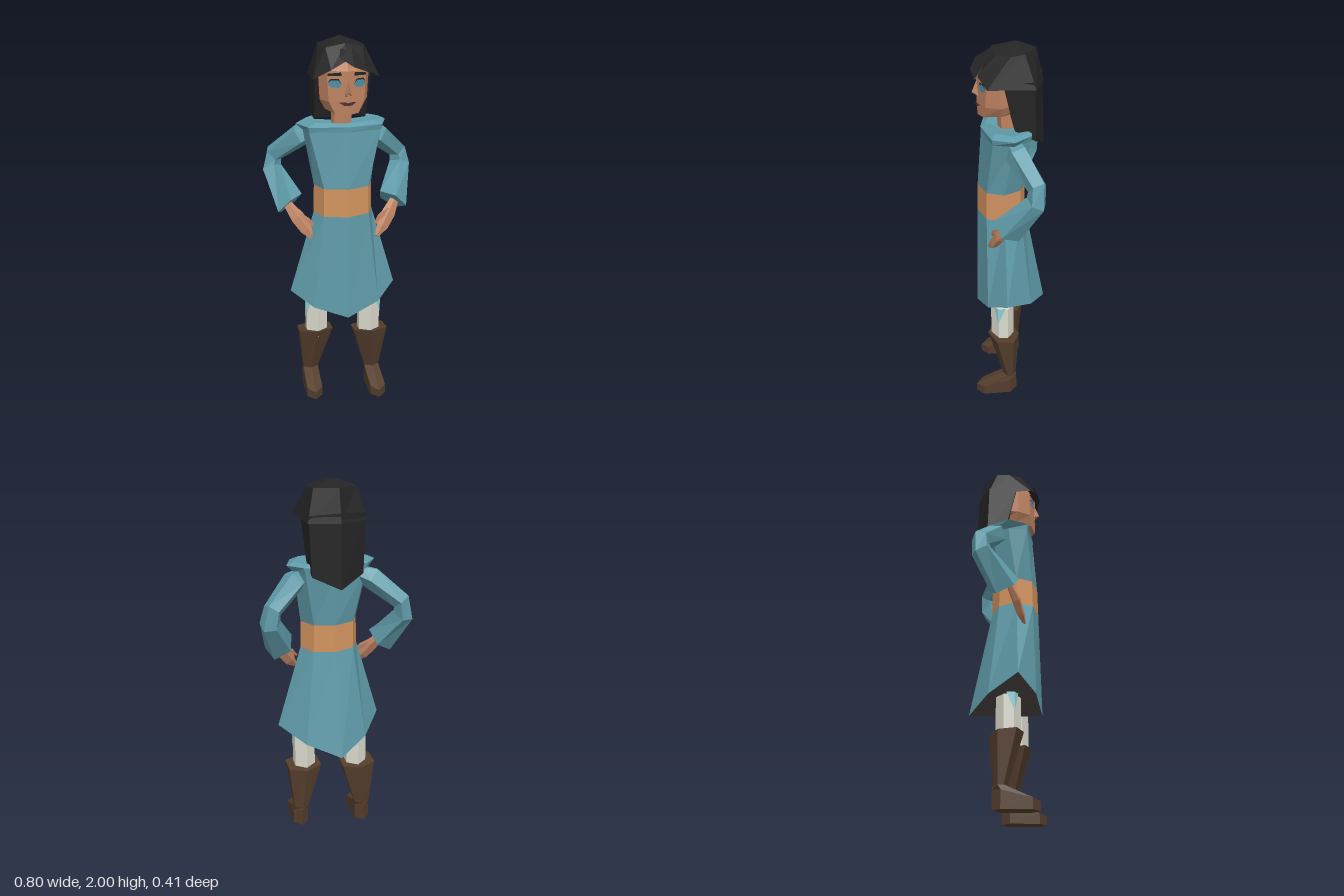
import * as THREE from 'three';

const mat = (name, color, side = THREE.FrontSide) => {
  const m = new THREE.MeshStandardMaterial({ color, side });
  m.name = name;
  return m;
};

// Faceted skin through rings of points, each counterclockwise about the direction of travel
function loft(rings, capStart = true, capEnd = true) {
  const pos = [];
  const tri = (...p) => p.forEach(q => pos.push(...q));
  const n = rings[0].length;
  for (let r = 0; r + 1 < rings.length; r++) {
    for (let i = 0; i < n; i++) {
      const j = (i + 1) % n, a = rings[r], b = rings[r + 1];
      tri(a[i], a[j], b[j]);
      tri(a[i], b[j], b[i]);
    }
  }
  const cap = (ring, flip) => {
    const c = [0, 1, 2].map(k => ring.reduce((s, p) => s + p[k], 0) / n);
    ring.forEach((p, i) => {
      const q = ring[(i + 1) % n];
      flip ? tri(c, q, p) : tri(c, p, q);
    });
  };
  if (capStart) cap(rings[0], true);
  if (capEnd) cap(rings[rings.length - 1], false);
  return fromTriangles(pos);
}

function fromTriangles(pos) {
  const g = new THREE.BufferGeometry();
  g.setAttribute('position', new THREE.Float32BufferAttribute(pos, 3));
  g.computeVertexNormals();
  return g;
}

// Eight-point ring, symmetric in x: front [y,z], three side points [x,y,z], back [y,z]
const sym = (f, d, s, b, k) => {
  const half = [d, s, b];
  return [[0, ...f], ...half, [0, ...k], ...half.map(([x, y, z]) => [-x, y, z]).reverse()];
};

// Six-point ring with pointed front and back; height runs from yb (back) to yf (front)
const hex = (x0, x1, zb, zf, yb, yf = yb) => {
  const d = Math.min(0.3 * (zf - zb), 0.04), xm = (x0 + x1) / 2;
  return [[xm, zf], [x1, zf - d], [x1, zb + d], [xm, zb], [x0, zb + d], [x0, zf - d]]
    .map(([x, z]) => [x, yb + (yf - yb) * (z - zb) / (zf - zb), z]);
};

// Rings along a limb: [x, y, z, radius]; flat squashes the section, endNormal tilts the last ring
function limb(path, sides, flat = 1, endNormal = null) {
  const pts = path.map(p => new THREE.Vector3(p[0], p[1], p[2]));
  return path.map((p, i) => {
    const last = i === path.length - 1;
    const n = last && endNormal ? new THREE.Vector3(...endNormal)
      : pts[Math.min(i + 1, path.length - 1)].clone().sub(pts[Math.max(i - 1, 0)]);
    n.normalize();
    const u = new THREE.Vector3(0, 0, 1).cross(n).normalize();
    const v = n.clone().cross(u);
    return Array.from({ length: sides }, (_, k) => {
      const a = (k + 0.5) / sides * Math.PI * 2;
      return pts[i].clone().addScaledVector(u, Math.cos(a) * p[3])
        .addScaledVector(v, Math.sin(a) * p[3] * flat).toArray();
    });
  });
}

// Mirror rings to the right side, with a shift in z for the stance
const onSide = (rings, s, dz) => s > 0 ? rings
  : rings.map(r => r.map(([x, y, z]) => [-x, y, z + dz]).reverse());

export function createModel() {
  const root = new THREE.Group();
  const body = new THREE.Group();
  body.name = 'figure';
  body.position.x = -0.017;
  root.add(body);

  const teal = mat('dressTeal', 0x609caa), orange = mat('beltOrange', 0xd2935f);
  const lining = mat('liningGrey', 0x4c4745), skin = mat('skin', 0xc08462);
  const hair = mat('hairBlack', 0x242424, THREE.DoubleSide), brown = mat('bootBrown', 0x543d2c);
  const white = mat('leggingWhite', 0xdcdacd), cyan = mat('patchCyan', 0x8fd0d4, THREE.DoubleSide);
  const blue = mat('eyeBlue', 0x4b90aa, THREE.DoubleSide), lip = mat('lipDark', 0x53302a, THREE.DoubleSide);

  const add = (name, geo, m) => {
    const mesh = new THREE.Mesh(geo, m);
    mesh.name = name;
    body.add(mesh);
    return mesh;
  };

  // Dress: skirt, lining, belt, bodice with flared collar
  const hem = sym([0.52, 0.185], [0.18, 0.58, 0.14], [0.292, 0.65, 0.045], [0.17, 0.58, -0.1], [0.52, -0.195]);
  const waist = (y, k) => sym([y, 0.173 * k], [0.12 * k, y, 0.135 * k], [0.158 * k, y, 0.045], [0.11 * k, y, -0.045 * k], [y, -0.08 * k]);
  const low = waist(1.1, 1), high = waist(1.25, 0.98);
  add('skirt', loft([hem, low], false, false), teal);
  const under = [];
  hem.forEach((p, i) => under.push(0, 0.52, 0, ...hem[(i + 1) % 8], ...p));
  add('skirtLining', fromTriangles(under), lining);
  add('belt', loft([low, high], false, false), orange);
  add('bodice', loft([
    high,
    sym([1.545, 0.148], [0.185, 1.54, 0.105], [0.2, 1.535, 0], [0.16, 1.54, -0.085], [1.545, -0.11]),
    sym([1.57, 0.15], [0.19, 1.57, 0.11], [0.237, 1.57, 0], [0.17, 1.575, -0.09], [1.57, -0.115]),
    sym([1.585, 0.125], [0.15, 1.588, 0.09], [0.2, 1.588, 0], [0.14, 1.588, -0.075], [1.585, -0.095]),
    sym([1.57, 0.075], [0.055, 1.57, 0.06], [0.075, 1.57, 0.01], [0.055, 1.57, -0.04], [1.57, -0.05]),
  ], false, true), teal);

  // Arms with hands on the hips, and legs with boots
  for (const s of [1, -1]) {
    const side = s > 0 ? 'left' : 'right';
    const part = (name, rings, m, dz) => add(side + name, loft(onSide(rings, s, dz)), m);
    part('Sleeve', limb([[0.14, 1.515, 0, 0.045], [0.2, 1.49, -0.015, 0.062], [0.335, 1.375, -0.095, 0.05],
      [0.35, 1.3, -0.09, 0.056], [0.275, 1.13, 0.035, 0.085]], 5, 1, [-0.55, -0.7, 0.45]), teal, -0.055);
    part('Hand', limb([[0.292, 1.14, 0.04, 0.024], [0.245, 1.07, 0.08, 0.04],
      [0.205, 1.01, 0.105, 0.035], [0.167, 0.965, 0.128, 0.012]], 5, 0.6), skin, -0.04);
    part('Thumb', limb([[0.245, 1.09, 0.075, 0.018], [0.19, 1.06, 0.1, 0.014], [0.163, 1.03, 0.11, 0.007]], 4), skin, -0.04);
    part('Legging', [hex(0.087, 0.202, -0.005, 0.12, 0.35), hex(0.087, 0.202, -0.005, 0.12, 0.57)], white, -0.055);
    part('Boot', [
      hex(0.135, 0.222, -0.02, 0.212, 0),
      hex(0.135, 0.222, -0.018, 0.212, 0.1, 0.045),
      hex(0.133, 0.217, -0.015, 0.058, 0.115),
      hex(0.057, 0.245, -0.035, 0.137, 0.37, 0.39),
    ], brown, -0.058);
    // Thin cloth patch on the outer thigh
    const patch = [[0.205, 0.58, 0.087], [0.205, 0.48, 0.087], [0.205, 0.58, 0.045],
      [0.205, 0.58, 0.087], [0.175, 0.58, 0.106], [0.205, 0.48, 0.087]];
    add(side + 'Patch', fromTriangles(patch.flatMap(([x, y, z]) => [x * s, y, s > 0 ? z : z - 0.055])), cyan);
  }

  // Neck and head
  add('neck', loft([
    sym([1.54, 0.06], [0.045, 1.54, 0.045], [0.055, 1.54, 0.01], [0.04, 1.54, -0.03], [1.54, -0.04]),
    sym([1.7, 0.07], [0.045, 1.7, 0.055], [0.055, 1.7, 0.02], [0.04, 1.7, -0.02], [1.7, -0.03]),
  ]), skin);
  add('head', loft([
    sym([1.635, 0.162], [0.06, 1.64, 0.138], [0.095, 1.65, 0.05], [0.07, 1.67, -0.04], [1.67, -0.07]),
    sym([1.7, 0.165], [0.09, 1.7, 0.129], [0.122, 1.7, 0.06], [0.1, 1.72, -0.07], [1.72, -0.1]),
    sym([1.85, 0.165], [0.1, 1.85, 0.125], [0.13, 1.85, 0.06], [0.11, 1.85, -0.08], [1.85, -0.12]),
    sym([1.925, 0.125], [0.07, 1.91, 0.09], [0.08, 1.91, 0.04], [0.07, 1.91, -0.04], [1.91, -0.07]),
  ]), skin);
  const base = [[0.02, 1.735, 0.155], [0, 1.815, 0.163], [-0.02, 1.735, 0.155]];
  const tip = [0, 1.75, 0.19];
  add('nose', fromTriangles(base.flatMap((p, i) => [...p, ...base[(i + 1) % 3], ...tip])), skin);

  // Painted features, laid on the sloping halves of the face
  const features = [
    ['Eye', blue, [[0.031, 1.785], [0.045, 1.771], [0.08, 1.771], [0.094, 1.79], [0.08, 1.806], [0.047, 1.806]], 0.169],
    ['Eyelash', hair, [[0.031, 1.787], [0.047, 1.806], [0.08, 1.806], [0.098, 1.792], [0.082, 1.813], [0.045, 1.813]], 0.17],
    ['Eyebrow', hair, [[0.03, 1.828], [0.098, 1.826], [0.095, 1.838], [0.035, 1.845]], 0.17],
    ['Nostril', lip, [[0.005, 1.731], [0.017, 1.731], [0.012, 1.737]], 0.171],
    ['Lips', lip, [[0, 1.683], [0.022, 1.684], [0.043, 1.698], [0.012, 1.7], [0, 1.696]], 0.171],
  ];
  for (const s of [1, -1]) {
    for (const [name, m, outline, z0] of features) {
      const g = new THREE.ShapeGeometry(new THREE.Shape(outline.map(([x, y]) => new THREE.Vector2(x * s, y))));
      const p = g.attributes.position;
      for (let i = 0; i < p.count; i++) p.setZ(i, z0 - 0.4 * Math.abs(p.getX(i)));
      g.computeVertexNormals();
      add((s > 0 ? 'left' : 'right') + name, g, m);
    }
  }

  // Hair: crown with parted fringe, long back, loose front lock
  const peak = Array.from({ length: 8 }, () => [0, 2, -0.03]);
  add('hairCrown', loft([
    sym([1.905, 0.165], [0.085, 1.86, 0.168], [0.168, 1.812, 0.128], [0.152, 1.8, -0.11], [1.8, -0.168]),
    sym([1.975, 0.09], [0.095, 1.955, 0.08], [0.118, 1.955, 0.01], [0.11, 1.96, -0.06], [1.965, -0.13]),
    peak,
  ], false, false), hair);
  add('hairBack', loft([
    [[0.135, 1.59, -0.01], [0.135, 1.53, -0.115], [0, 1.47, -0.175], [-0.135, 1.53, -0.115], [-0.135, 1.59, -0.01]],
    [[0.147, 1.835, 0.05], [0.147, 1.835, -0.105], [0, 1.85, -0.16], [-0.147, 1.835, -0.105], [-0.147, 1.835, 0.05]],
  ]), hair);
  add('frontLock', loft([
    [[0.1, 1.845, 0.182], [0.098, 1.85, 0.172], [0.09, 1.855, 0.17]],
    [[0.02, 1.875, 0.196], [0.075, 1.9, 0.14], [0.01, 1.915, 0.145]],
    [[-0.04, 1.915, 0.165], [0.03, 1.96, 0.1], [-0.03, 1.95, 0.11]],
  ]), hair);

  return root;
}
